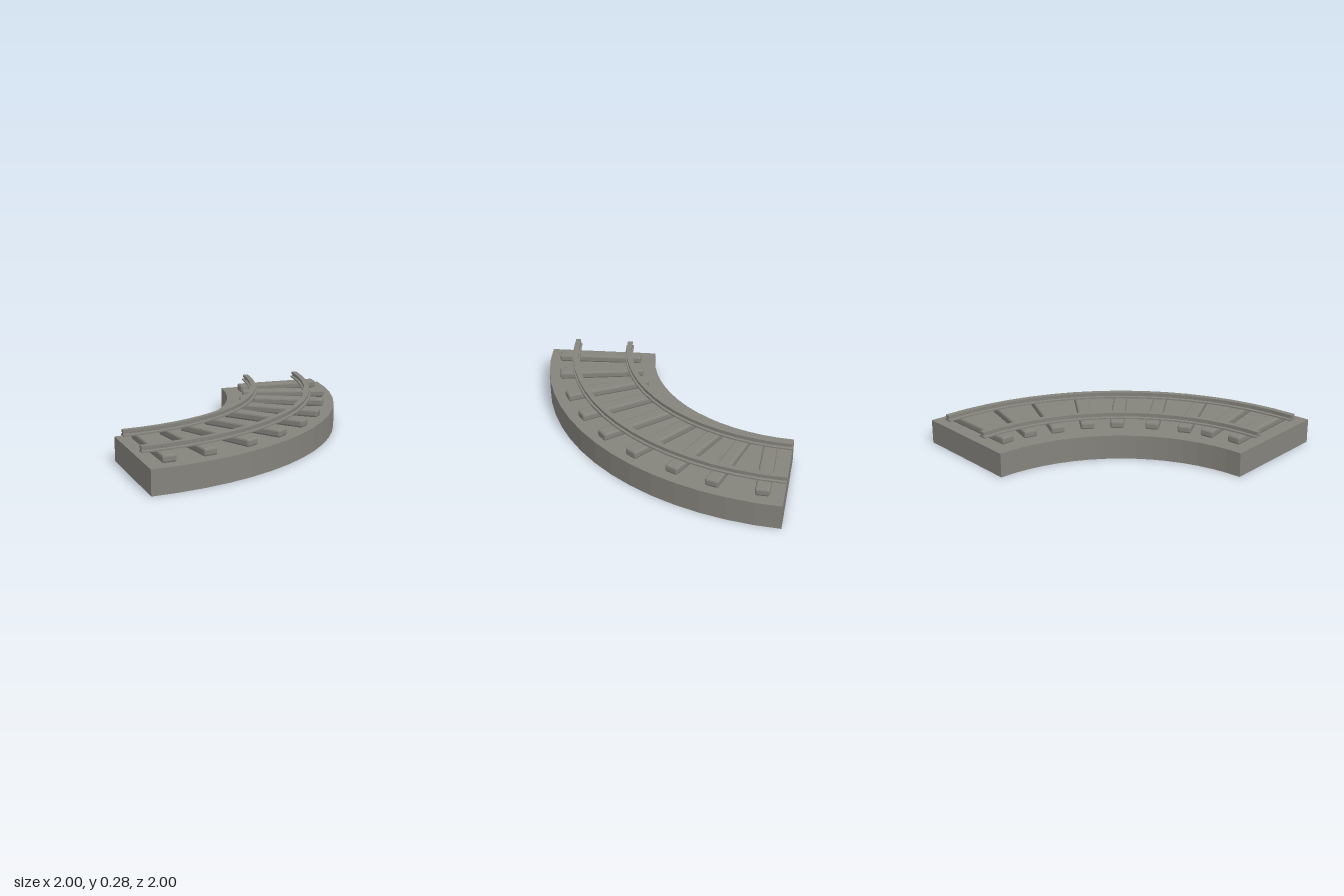
import * as THREE from 'three';
import { mergeGeometries } from 'three/addons/utils/BufferGeometryUtils.js';
import { RoundedBoxGeometry } from 'three/addons/geometries/RoundedBoxGeometry.js';

const CENTRE = -1.059; // x and z of the curve's centre
const START = THREE.MathUtils.degToRad(2.74);
const END = Math.PI / 2 - START;
const SEGMENTS = 16;

// Sweeps a closed (radius, height) profile, listed anticlockwise, along the curve
function curvedBar(profile) {
  const points = profile.map(([r, y]) => new THREE.Vector2(r, y));
  const sides = new THREE.LatheGeometry([...points, points[0]], SEGMENTS, START, END - START);
  const startCap = new THREE.ShapeGeometry(new THREE.Shape(points));
  const endCap = startCap.clone();
  endCap.setIndex(Array.from(endCap.index.array).reverse());
  startCap.rotateY(START - Math.PI / 2);
  endCap.rotateY(END - Math.PI / 2);
  const bar = mergeGeometries([sides, startCap, endCap].map((g) => g.toNonIndexed()));
  bar.translate(CENTRE, 0, CENTRE);
  bar.computeVertexNormals();
  return bar;
}

export function createModel() {
  const model = new THREE.Group();
  model.name = 'curvedRailwayTrack';
  const stone = new THREE.MeshStandardMaterial({ color: 0x85837c });
  stone.name = 'warm grey';

  const add = (name, geometry) => {
    const mesh = new THREE.Mesh(geometry, stone);
    mesh.name = name;
    model.add(mesh);
    return mesh;
  };

  // Thick curved track bed
  add('trackBed', curvedBar([[1.225, 0], [2.061, 0], [2.061, 0.178], [1.225, 0.178]]));

  // Rails: wide foot, thin web and narrower head
  const half = [[0.03, 0.235], [0.03, 0.245], [0.012, 0.248], [0.012, 0.257], [0.02, 0.26], [0.02, 0.278]];
  const mirrored = half.map(([w, y]) => [-w, y]).reverse();
  for (const [name, radius] of [['innerRail', 1.43], ['outerRail', 1.851]]) {
    add(name, curvedBar([...half, ...mirrored].map(([w, y]) => [radius + w, y])));
  }

  // Chamfered sleepers, laid slightly unevenly: inner x, z and outer x, z
  const sleepers = [
    [0.297, -0.842, 0.869, -0.821],
    [0.265, -0.655, 0.805, -0.489],
    [0.179, -0.463, 0.687, -0.206],
    [0.078, -0.259, 0.527, 0.094],
    [-0.056, -0.088, 0.318, 0.329],
    [-0.259, 0.072, 0.078, 0.527],
    [-0.468, 0.19, -0.195, 0.682],
    [-0.639, 0.254, -0.521, 0.799],
    [-0.853, 0.302, -0.81, 0.858],
  ];
  const sleeper = new RoundedBoxGeometry(0.645, 0.056, 0.1, 1, 0.014);
  sleeper.computeVertexNormals();
  sleepers.forEach(([x1, z1, x2, z2], i) => {
    const mesh = add(`sleeper${i + 1}`, sleeper);
    mesh.position.set((x1 + x2) / 2, 0.206, (z1 + z2) / 2);
    mesh.rotation.y = -Math.atan2(z2 - z1, x2 - x1);
  });

  return model;
}
